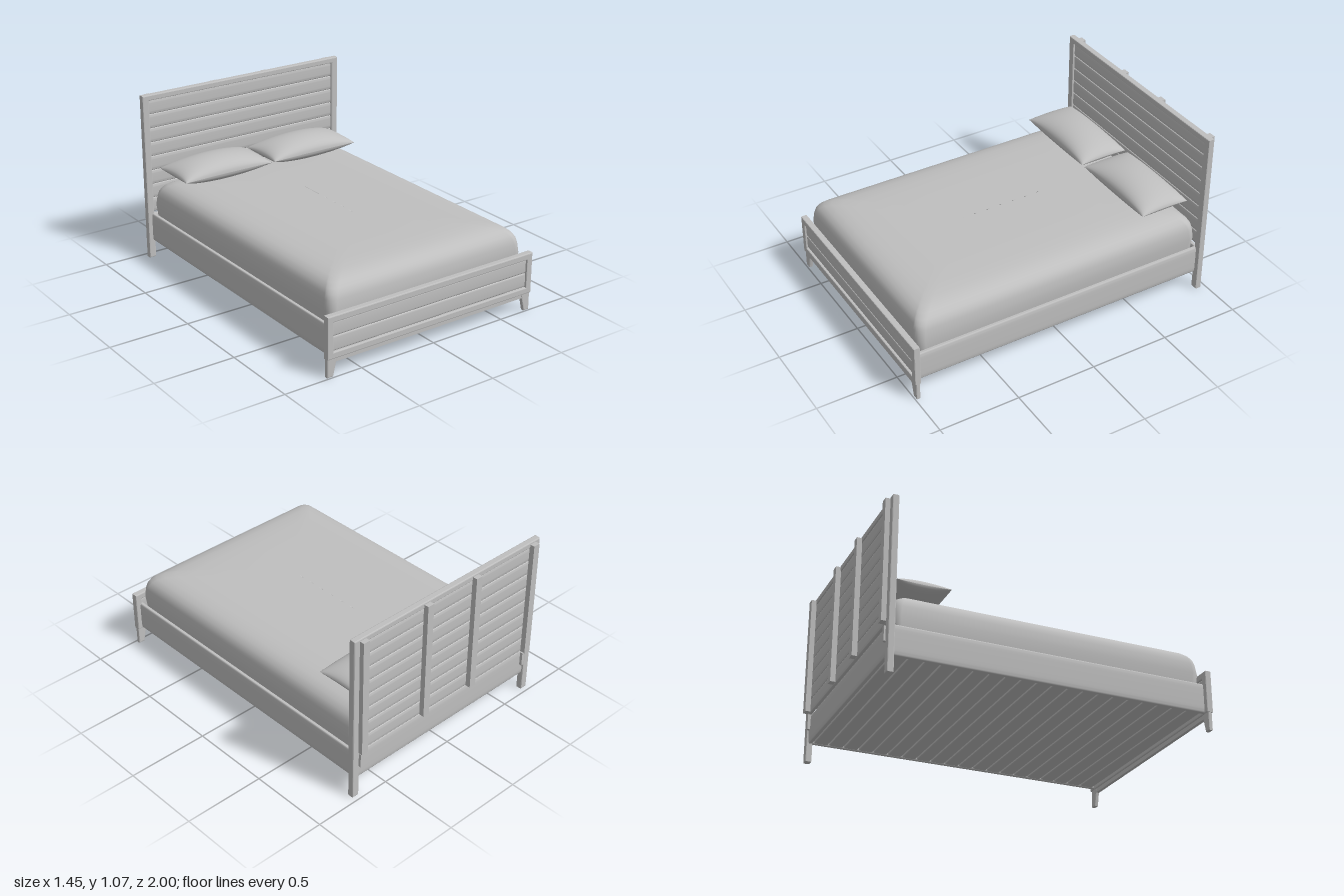
import * as THREE from 'three';
import { mergeGeometries, mergeVertices, toCreasedNormals } from 'three/addons/utils/BufferGeometryUtils.js';

const grey = new THREE.MeshStandardMaterial({ color: 0xbfbfbf });
grey.name = 'soft grey';

export function createModel() {
  const bed = new THREE.Group();
  bed.name = 'bed';

  function add(name, geometry, x = 0, y = 0, z = 0, parent = bed) {
    const mesh = new THREE.Mesh(geometry, grey);
    mesh.name = name;
    mesh.position.set(x, y, z);
    parent.add(mesh);
    return mesh;
  }
  const box = (w, h, d) => new THREE.BoxGeometry(w, h, d);

  // Board with a softly bulging section, running along x or z
  function board(length, height, depth, alongX = true) {
    const pts = [];
    for (let i = 0; i < 32; i++) {
      const a = (i / 32) * Math.PI * 2, c = Math.cos(a), s = Math.sin(a);
      pts.push(new THREE.Vector2(
        Math.sign(c) * Math.abs(c) ** 0.5 * depth / 2,
        Math.sign(s) * Math.abs(s) ** 0.4 * height / 2));
    }
    const g = new THREE.ExtrudeGeometry(new THREE.Shape(pts), { depth: length, bevelEnabled: false });
    g.translate(0, 0, -length / 2);
    if (alongX) g.rotateY(Math.PI / 2);
    return toCreasedNormals(g, 0.9);
  }

  // Flat outline with lightly bevelled edges, centred on z
  function panel(points, depth, hole) {
    const toVec = p => new THREE.Vector2(p[0], p[1]);
    const shape = new THREE.Shape(points.map(toVec));
    if (hole) shape.holes.push(new THREE.Path(hole.map(toVec)));
    const b = 0.006;
    const g = new THREE.ExtrudeGeometry(shape, {
      depth: depth - 2 * b, bevelThickness: b, bevelSize: b, bevelOffset: -b, bevelSegments: 2
    });
    return g.translate(0, 0, -depth / 2 + b);
  }
  const rect = (x, y0, y1) => [[-x, y0], [x, y0], [x, y1], [-x, y1]];

  // Headboard: posts joined by a top rail, slats, and battens behind
  const headboard = new THREE.Group();
  headboard.name = 'headboard';
  bed.add(headboard);
  add('headboardFrame', panel([[-0.725, 0], [-0.68, 0], [-0.68, 1.03], [0.68, 1.03],
    [0.68, 0], [0.725, 0], [0.725, 1.066], [-0.725, 1.066]], 0.04), 0, 0, -0.951, headboard);
  const pitch = 0.091;
  for (let i = 0; i < 8; i++) {
    add('headboardSlat', board(1.37, pitch, 0.024), 0, 1.03 - pitch * (i + 0.5), -0.956, headboard);
  }
  for (const x of [-0.665, -0.19, 0.19, 0.665]) {
    add('headboardBatten', box(0.045, 0.75, 0.032), x, 0.68, -0.984, headboard);
  }
  add('headRail', board(1.37, 0.178, 0.03), 0, 0.204, -0.945, headboard);

  // Footboard: frame with two inset boards, apron and tapered legs
  const footboard = new THREE.Group();
  footboard.name = 'footboard';
  bed.add(footboard);
  add('footboardFrame', panel(rect(0.725, 0.11, 0.365), 0.04, rect(0.685, 0.15, 0.325)), 0, 0, 0.98, footboard);
  for (const y of [0.194, 0.282]) add('footboardSlat', board(1.38, 0.088, 0.022), 0, y, 0.977, footboard);
  add('footApron', box(1.34, 0.03, 0.02), 0, 0.1, 0.98, footboard);

  // Mirrored parts
  for (const s of [-1, 1]) {
    const leg = [[0.722, 0], [0.722, 0.115], [0.655, 0.115], [0.663, 0.085], [0.683, 0]];
    add('frontLeg', panel(leg.map(([x, y]) => [s * x, y]), 0.026), 0, 0, 0.98, footboard);
    add('sideRail', board(1.9, 0.182, 0.03, false), s * 0.682, 0.203, 0.015);
    add('railBracket', box(0.02, 0.09, 0.02), s * 0.664, 0.24, -0.967);
  }

  // Base slats across the bed
  for (let i = 0; i < 20; i++) {
    add('baseSlat', board(1.35, 0.022, 0.087), 0, 0.128, -0.882 + i * 0.094);
  }

  // Mattress: rounded rectangles stacked and drawn in towards the top
  function mattressGeometry(hx, hz) {
    const rings = [[0.15, 0.68], [0.15, 0.03], [0.16, 0.022], [0.28, 0.008], [0.36, 0], [0.42, 0.007], [0.45, 0.015],
      [0.475, 0.03], [0.497, 0.055], [0.512, 0.09], [0.523, 0.14], [0.529, 0.22], [0.533, 0.36], [0.534, 0.68]];
    const corner = 7, n = corner * 4, pos = [], index = [];
    for (const [y, inset] of rings) {
      const a = hx - inset, b = hz - inset, r = Math.min(0.05, a);
      for (let k = 0; k < n; k++) {
        const q = Math.floor(k / corner);
        const t = (q + (k % corner) / (corner - 1)) * Math.PI / 2;
        const sx = q === 0 || q === 3 ? 1 : -1, sz = q < 2 ? 1 : -1;
        pos.push(sx * (a - r) + r * Math.cos(t), y, sz * (b - r) + r * Math.sin(t));
      }
    }
    for (let j = 0; j < rings.length - 1; j++) {
      for (let k = 0; k < n; k++) {
        const a = j * n + k, b = j * n + (k + 1) % n;
        index.push(a, a + n, b, b, a + n, b + n);
      }
    }
    const g = new THREE.BufferGeometry();
    g.setAttribute('position', new THREE.Float32BufferAttribute(pos, 3));
    g.setIndex(index);
    g.computeVertexNormals();
    return g;
  }
  add('mattress', mattressGeometry(0.682, 0.945), 0, 0, 0.01);

  // Pillow: two puffed sheets meeting at a seam with drawn-out corners
  function pillowGeometry(hx, hz, up, down) {
    const sheets = [up, -down].map(h => {
      const g = new THREE.PlaneGeometry(2, 2, 28, 20).rotateX(-Math.PI / 2);
      const p = g.attributes.position;
      for (let i = 0; i < p.count; i++) {
        const u = Math.sin(p.getX(i) * Math.PI / 2), v = Math.sin(p.getZ(i) * Math.PI / 2);
        const puff = Math.max(0, 1 - u * u) ** 0.5 * Math.max(0, 1 - v * v) ** 0.45;
        p.setXYZ(i, hx * u * (1 - 0.03 * (1 - v * v)), h * puff, hz * v * (1 - 0.04 * (1 - u * u)));
      }
      if (h < 0) {
        const ix = g.index.array;
        for (let i = 0; i < ix.length; i += 3) [ix[i], ix[i + 1]] = [ix[i + 1], ix[i]];
      }
      g.deleteAttribute('uv');
      g.computeVertexNormals();
      return g;
    });
    return mergeVertices(mergeGeometries(sheets));
  }
  const pillow = pillowGeometry(0.307, 0.16, 0.083, 0.068);
  add('rightPillow', pillow, -0.335, 0.596, -0.742);
  add('leftPillow', pillow, 0.303, 0.596, -0.742);

  return bed;
}
